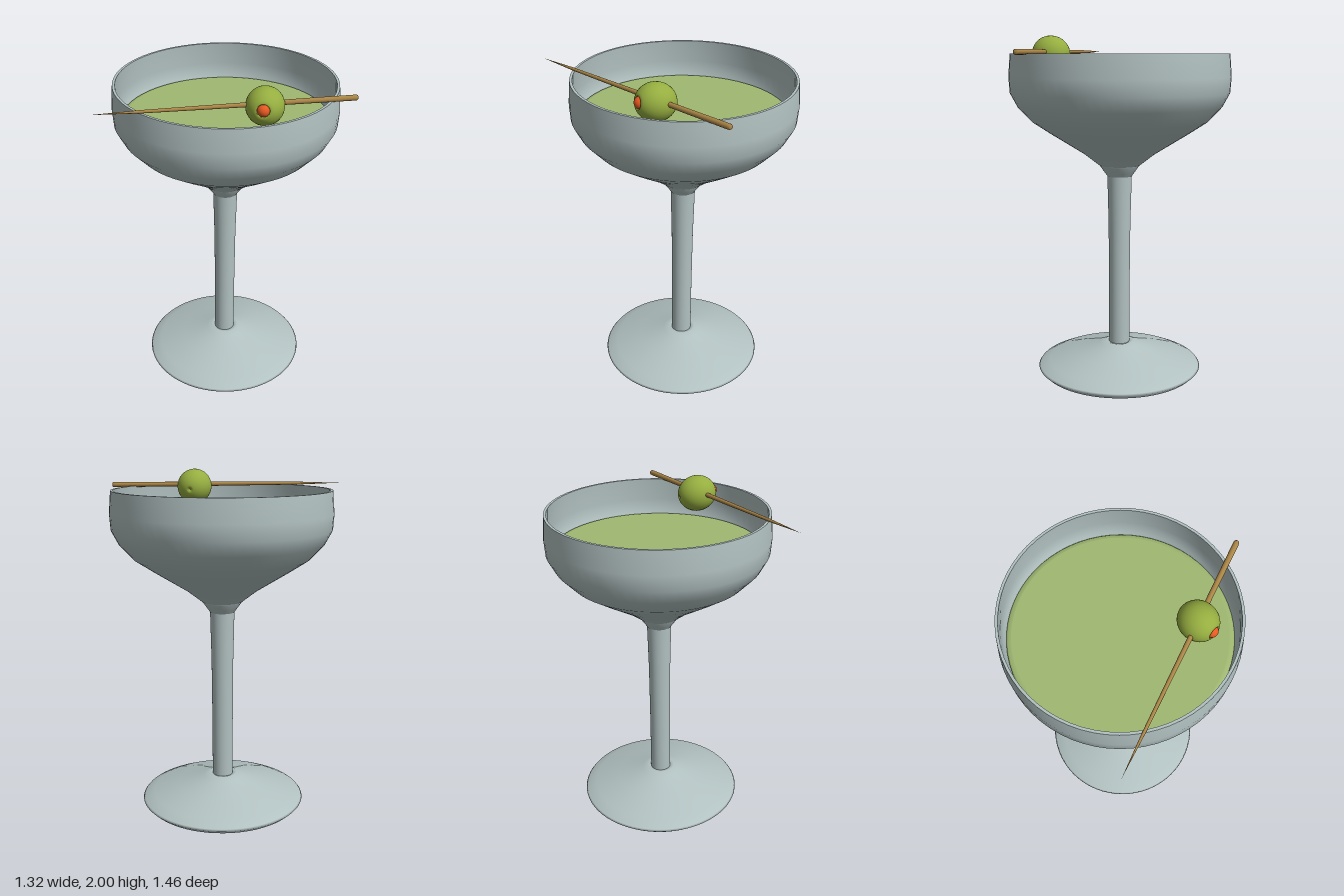
import * as THREE from 'three';

const material = (color) => new THREE.MeshStandardMaterial({ color });

// Surface of revolution; repeating a profile point makes a sharp edge there
function lathe(name, profile, mat, segments = 64) {
  const points = profile.map(([r, y]) => new THREE.Vector2(r, y));
  const mesh = new THREE.Mesh(new THREE.LatheGeometry(points, segments), mat);
  mesh.name = name;
  return mesh;
}

export function createModel() {
  const model = new THREE.Group();
  model.name = 'cocktail';

  const glassMat = material(0xb2c1c1);
  const liquidMat = material(0x9fb871);
  const oliveMat = material(0x96ae40);
  const pimentoMat = material(0xe85a22);
  const woodMat = material(0xaa8546);

  // Glass: foot, stem, bowl and drink share one axis
  const glass = new THREE.Group();
  glass.name = 'glass';
  glass.position.set(-0.025, 0, -0.102);
  model.add(glass);

  glass.add(lathe('foot', [
    [0, 0], [0.47, 0], [0.47, 0], [0.493, 0.022], [0.485, 0.032], [0.425, 0.06],
    [0.27, 0.108], [0.115, 0.155], [0.085, 0.17], [0.06, 0.165], [0.05, 0.15],
  ], glassMat));

  glass.add(lathe('stem', [
    [0.062, 0.14], [0.062, 0.5], [0.065, 0.9], [0.072, 1.19], [0.072, 1.19],
    [0.088, 1.212], [0.115, 1.25], [0.115, 1.26],
  ], glassMat));

  glass.add(lathe('bowl', [
    [0, 1.255], [0.12, 1.255], [0.12, 1.255], [0.21, 1.325], [0.395, 1.44],
    [0.51, 1.515], [0.59, 1.6], [0.632, 1.68], [0.638, 1.77], [0.627, 1.9], [0.627, 1.9],
    [0.612, 1.9], [0.612, 1.9], [0.621, 1.77], [0.614, 1.69], [0.572, 1.61],
    [0.495, 1.53], [0.38, 1.455], [0.2, 1.345], [0, 1.29],
  ], glassMat));

  glass.add(lathe('drink', [
    [0.572, 1.615], [0.6, 1.66], [0.602, 1.676], [0.594, 1.685], [0.575, 1.688],
    [0.575, 1.688], [0, 1.688],
  ], liquidMat));

  // Olive, its axis turned towards the stuffed end
  const olive = new THREE.Group();
  olive.name = 'olive';
  olive.position.set(0.353, 1.897, 0.004);
  olive.quaternion.setFromUnitVectors(
    new THREE.Vector3(0, 1, 0), new THREE.Vector3(0.57, 0.13, 0.8).normalize());
  model.add(olive);

  // Dimple at the far end, open hole at the stuffed end
  const skin = [[0, -0.096], [0.006, -0.104], [0.014, -0.11]];
  for (let i = 0; i <= 18; i++) {
    const a = THREE.MathUtils.lerp(-1.35, 1.2, i / 18);
    skin.push([0.103 * Math.cos(a), 0.113 * Math.sin(a)]);
  }
  skin.push([0.033, 0.1], [0.031, 0.08]);
  olive.add(lathe('oliveSkin', skin, oliveMat, 36));

  const pimento = new THREE.Mesh(new THREE.SphereGeometry(0.034, 24, 16), pimentoMat);
  pimento.name = 'pimento';
  pimento.position.y = 0.088;
  olive.add(pimento);

  // Wooden pick: rounded blunt end, long taper to a point
  const blunt = new THREE.Vector3(0.65, 1.908, -0.395);
  const tip = new THREE.Vector3(-0.18, 1.912, 0.725);
  const axis = tip.clone().sub(blunt);
  const length = axis.length();
  const pick = lathe('pick', [
    [0, 0], [0.011, 0.001], [0.015, 0.007], [0.0155, 0.02], [0.0135, 0.35 * length],
    [0.011, 0.6 * length], [0.0085, 0.82 * length], [0, length],
  ], woodMat, 16);
  pick.position.copy(blunt);
  pick.quaternion.setFromUnitVectors(new THREE.Vector3(0, 1, 0), axis.normalize());
  model.add(pick);

  return model;
}
